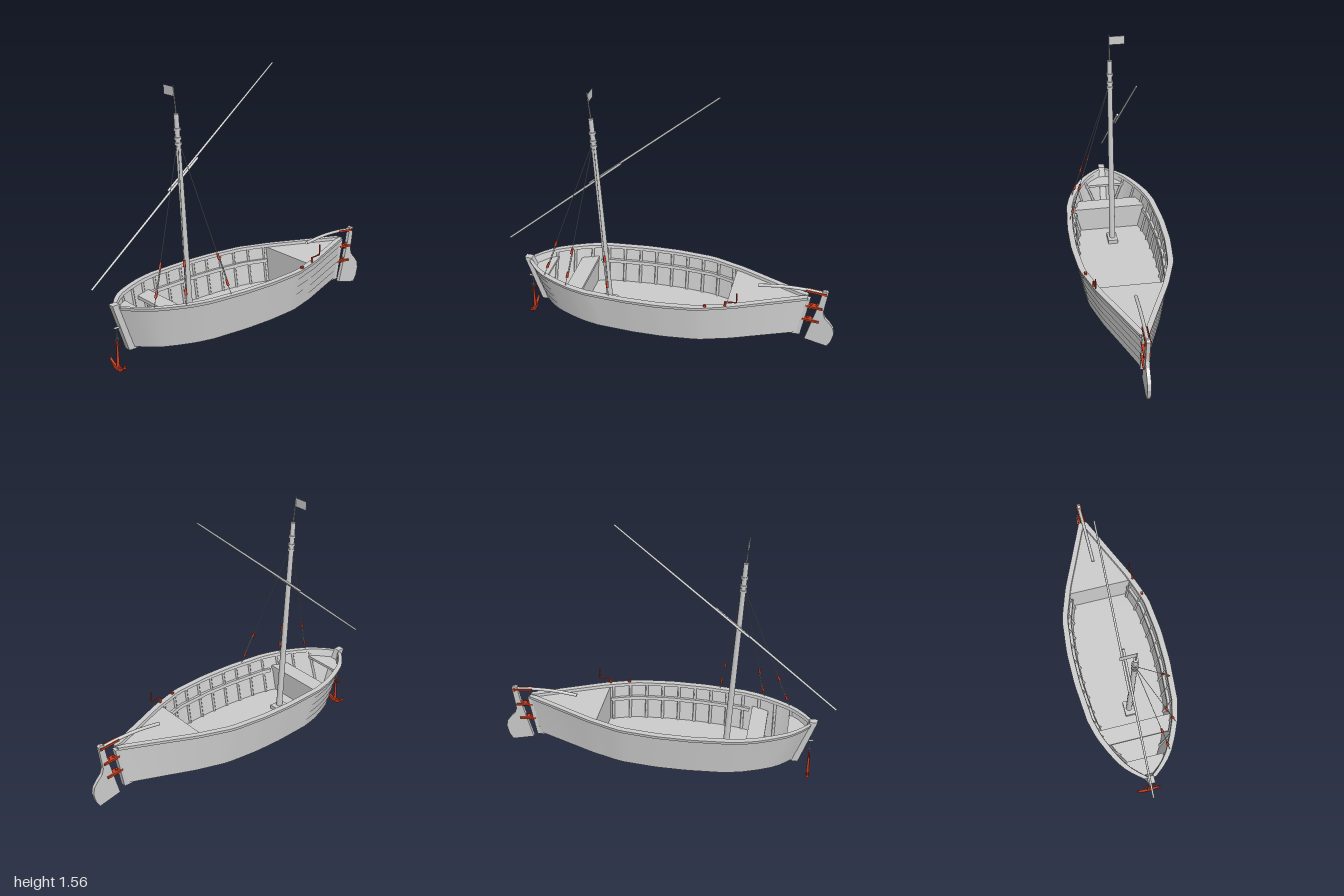
import * as THREE from 'three';

const grey = new THREE.MeshStandardMaterial({ color: 0xcccccc, side: THREE.DoubleSide });
const red = new THREE.MeshStandardMaterial({ color: 0xc83c1e, side: THREE.DoubleSide });
const V = (x, y, z) => new THREE.Vector3(x, y, z);
const lerp = THREE.MathUtils.lerp;

// Half-breadth of the hull along its top edge: [x, half width]
const beam = [[-0.86, 0.025], [-0.8, 0.1], [-0.74, 0.148], [-0.66, 0.192], [-0.55, 0.24], [-0.44, 0.268], [-0.2, 0.288],
  [0, 0.288], [0.22, 0.266], [0.42, 0.198], [0.6, 0.117], [0.83, 0.015]];
const TOP = 0.382, BOTTOM = 0.13;
const ends = y => {
  const v = (y - BOTTOM) / (TOP - BOTTOM);
  return [lerp(-0.77, -0.86, v), lerp(0.79, 0.83, v), lerp(0.84, 1, v)];
};
// Half width of the hull at any length and height
function halfWidth(x, y) {
  const [x0, x1, k] = ends(y);
  const t = THREE.MathUtils.clamp(lerp(-0.86, 0.83, (x - x0) / (x1 - x0)), -0.86, 0.83);
  let i = 0;
  while (i < beam.length - 2 && beam[i + 1][0] < t) i++;
  const [a, b] = [beam[i], beam[i + 1]];
  return k * lerp(a[1], b[1], (t - a[0]) / (b[0] - a[0]));
}

export function createModel() {
  const model = new THREE.Group();
  const add = (name, geo, mat = grey, parent = model) => {
    const m = new THREE.Mesh(geo, mat);
    m.name = name;
    parent.add(m);
    return m;
  };
  const rod = (name, a, b, r0, r1 = r0, mat = grey, sides = 10) => {
    const d = b.clone().sub(a);
    const m = add(name, new THREE.CylinderGeometry(r1, r0, d.length(), sides), mat);
    m.position.copy(a).lerp(b, 0.5);
    m.quaternion.setFromUnitVectors(V(0, 1, 0), d.normalize());
    return m;
  };
  const box = (name, w, h, d, x, y, z, mat = grey) => {
    const m = add(name, new THREE.BoxGeometry(w, h, d), mat);
    m.position.set(x, y, z);
    return m;
  };
  // Upright slab cut from an outline in x and y
  const slab = (name, pts, depth, mat = grey) => {
    const s = new THREE.Shape(pts.map(p => new THREE.Vector2(...p)));
    return add(name, new THREE.ExtrudeGeometry(s, { depth, bevelEnabled: false }).translate(0, 0, -depth / 2), mat);
  };
  // Horizontal boarding that fills the hull between two stations
  const deck = (name, xa, xb, y, thick, inset = 0.012) => {
    const side = [];
    for (let i = 0; i <= 24; i++) {
      const x = lerp(xa, xb, i / 24);
      side.push([x, Math.max(0.004, halfWidth(x, y - thick) - inset)]);
    }
    const pts = [...side, ...side.map(([x, z]) => [x, -z]).reverse()];
    const s = new THREE.Shape(pts.map(p => new THREE.Vector2(...p)));
    add(name, new THREE.ExtrudeGeometry(s, { depth: thick, bevelEnabled: false }).rotateX(Math.PI / 2).translate(0, y, 0));
  };
  const bulkhead = (name, x, y0, y1) => {
    const [a, b] = [halfWidth(x, y0) - 0.012, halfWidth(x, y1) - 0.012];
    const s = new THREE.Shape([[-a, y0], [a, y0], [b, y1], [-b, y1]].map(p => new THREE.Vector2(...p)));
    add(name, new THREE.ExtrudeGeometry(s, { depth: 0.012, bevelEnabled: false }).rotateY(Math.PI / 2).translate(x, 0, 0));
  };
  // Strip along one side; corners are [height, offset from hull side]
  const strip = (name, corners, side, from = 0, to = 1) => {
    const pos = [], index = [], n = 40;
    for (let c = 0; c < corners.length - 1; c++) {
      const base = pos.length / 3;
      for (let i = 0; i <= n; i++) {
        for (const [y, off] of [corners[c], corners[c + 1]]) {
          const [x0, x1] = ends(y);
          const x = lerp(x0, x1, lerp(from, to, i / n));
          pos.push(x, y, side * Math.max(0.002, halfWidth(x, y) + off));
        }
        if (i < n) {
          const k = base + i * 2;
          if (side > 0) index.push(k, k + 2, k + 1, k + 1, k + 2, k + 3);
          else index.push(k, k + 1, k + 2, k + 1, k + 3, k + 2);
        }
      }
    }
    const g = new THREE.BufferGeometry();
    g.setAttribute('position', new THREE.Float32BufferAttribute(pos, 3));
    g.setIndex(index);
    g.computeVertexNormals();
    add(name, g);
  };

  // Hull sides: lapped planks, lining, gunwale, stringer and ribs
  for (const side of [1, -1]) {
    const rows = 5, h = (TOP - BOTTOM) / rows;
    for (let r = 0; r < rows; r++) {
      const y = BOTTOM + r * h;
      strip('hullPlank', [[y, -0.003], [y, 0.001], [y + h, -0.003]], side);
    }
    strip('hullLining', [[TOP, -0.012], [BOTTOM, -0.012]], side);
    strip('gunwale', [[0.372, -0.024], [0.372, 0.01], [0.39, 0.01], [0.39, -0.024], [0.372, -0.024]], side);
    strip('stringer', [[0.28, -0.01], [0.28, -0.028], [0.3, -0.028], [0.3, -0.01]], side, 0.21, 0.73);
    for (let i = 0; i < 16; i++) {
      const x = -0.74 + i * 0.1;
      if (x > 0.37 && x < 0.8) continue;
      if (x > 0.7) break;
      rod('rib', V(x, 0.14, side * (halfWidth(x, 0.14) - 0.015)), V(x, 0.375, side * (halfWidth(x, 0.375) - 0.015)), 0.009, 0.009, grey, 4);
    }
  }

  // Bottom, inner decks, partitions and bench
  deck('bottom', -0.77, 0.79, 0.14, 0.01, 0);
  deck('floor', -0.74, 0.38, 0.155, 0.01);
  deck('sternDeck', 0.38, 0.82, 0.372, 0.012);
  bulkhead('sternBulkhead', 0.38, 0.14, 0.365);
  deck('foredeck', -0.83, -0.73, 0.345, 0.015);
  deck('mastBench', -0.6, -0.5, 0.315, 0.02);
  bulkhead('benchBulkhead', -0.515, 0.14, 0.3);
  box('mastStep', 0.09, 0.03, 0.06, -0.37, 0.165, 0);

  // Backbone
  slab('stem', [[-0.9, 0.402], [-0.803, 0.115], [-0.76, 0.115], [-0.76, 0.135], [-0.855, 0.402]], 0.04);
  slab('sternpost', [[0.775, 0.115], [0.8, 0.115], [0.845, 0.372], [0.815, 0.372]], 0.034);
  box('keel', 1.56, 0.02, 0.034, 0, 0.125, 0);

  // Mast, bands, flagstaff and flag
  const mastAt = y => V(-0.383 - (y - 0.385) * 0.061, y, 0);
  rod('mast', mastAt(0.15), mastAt(1.375), 0.019, 0.014, grey, 16);
  for (const y of [1.21, 1.24, 1.29]) rod('mastBand', mastAt(y - 0.007), mastAt(y + 0.007), 0.02, 0.02, grey, 16);
  rod('flagstaff', mastAt(1.37), V(-0.46, 1.53, 0), 0.004, 0.003);
  box('flag', 0.002, 0.052, 0.088, -0.457, 1.495, -0.045);

  // Yard made of two overlapping spars
  rod('lowerSpar', V(-0.998, 0.507, -0.022), V(-0.285, 1.103, -0.022), 0.006, 0.007);
  rod('upperSpar', V(-0.48, 0.945, -0.037), V(0.272, 1.562, -0.037), 0.007, 0.005);

  // Shrouds with paired blocks
  for (const [x, z] of [[-0.727, 0.155], [-0.57, 0.232], [-0.293, 0.275]]) {
    const foot = V(x, 0.385, z), head = mastAt(1.24);
    const at = y => foot.clone().lerp(head, (y - foot.y) / (head.y - foot.y));
    rod('shroud', foot, head, 0.0018, 0.0018, grey, 6);
    for (const y of [0.455, 0.6]) rod('shroudBlock', at(y - 0.017), at(y + 0.017), 0.008, 0.006, red, 8);
    const lanyard = rod('lanyard', at(0.455), at(0.6), 0.0022, 0.0022, grey, 6);
    lanyard.position.x += 0.006;
  }

  // Rudder, hinges and tiller
  slab('rudder', [[0.828, 0.085], [0.962, 0.052], [0.985, 0.09], [0.998, 0.145], [0.99, 0.185], [0.965, 0.22], [0.937, 0.25],
    [0.925, 0.285], [0.945, 0.432], [0.93, 0.44], [0.912, 0.437], [0.895, 0.34]], 0.022);
  for (const [x, y] of [[0.87, 0.32], [0.855, 0.225]]) {
    const strap = box('hingeStrap', 0.1, 0.012, 0.04, x, y, 0, red);
    strap.rotation.z = -0.12;
    for (const dx of [-0.024, 0.012]) rod('hingePin', V(x + dx, y - 0.02, 0), V(x + dx + 0.005, y + 0.018, 0), 0.008, 0.008, red);
  }
  const tiller = new THREE.CatmullRomCurve3([V(0.54, 0.416, 0), V(0.68, 0.431, 0), V(0.82, 0.43, 0), V(0.93, 0.418, 0)]);
  add('tiller', new THREE.TubeGeometry(tiller, 24, 0.01, 8));
  for (const z of [-0.014, 0.014]) {
    box('tillerStrap', 0.115, 0.012, 0.005, 0.873, 0.424, z, red).rotation.z = -0.11;
  }
  box('tillerCap', 0.012, 0.016, 0.036, 0.93, 0.418, 0, red);

  // Crank and small cleat on the left rail
  const crank = [V(0.38, 0.385, 0.213), V(0.38, 0.42, 0.213), V(0.445, 0.422, 0.21), V(0.445, 0.485, 0.21)];
  for (let i = 0; i < 3; i++) rod('crank', crank[i], crank[i + 1], i ? 0.004 : 0.007, i ? 0.004 : 0.007, red);
  box('cleat', 0.016, 0.014, 0.014, 0.268, 0.395, 0.245, red);

  // Anchor hanging at the bow
  const ax = -0.867;
  rod('anchorPeg', V(ax - 0.018, 0.262, 0), V(-0.81, 0.262, 0), 0.006);
  rod('anchorLine', V(ax, 0.19, 0), V(ax, 0.262, 0), 0.002);
  add('anchorRing', new THREE.TorusGeometry(0.01, 0.0025, 6, 16)).position.set(ax, 0.192, 0);
  rod('anchorShank', V(ax, 0.012, 0), V(ax, 0.185, 0), 0.01, 0.005, red);
  rod('anchorStock', V(ax, 0.165, -0.035), V(ax, 0.165, 0.035), 0.004, 0.004, red);
  const arms = new THREE.Shape();
  arms.moveTo(-0.07, 0.058);
  arms.quadraticCurveTo(-0.05, 0.008, 0, 0.006);
  arms.quadraticCurveTo(0.05, 0.008, 0.07, 0.058);
  arms.quadraticCurveTo(0.04, 0.03, 0, 0.032);
  arms.quadraticCurveTo(-0.04, 0.03, -0.07, 0.058);
  add('anchorArms', new THREE.ExtrudeGeometry(arms, { depth: 0.014, bevelEnabled: false })
    .translate(0, 0, -0.007).rotateY(Math.PI / 2).translate(ax, 0, 0), red);
  for (const s of [1, -1]) {
    const fluke = add('anchorFluke', new THREE.ConeGeometry(0.012, 0.034, 4), red);
    fluke.position.set(ax, 0.06, s * 0.067);
    fluke.rotation.x = s * 0.25;
  }
  return model;
}
